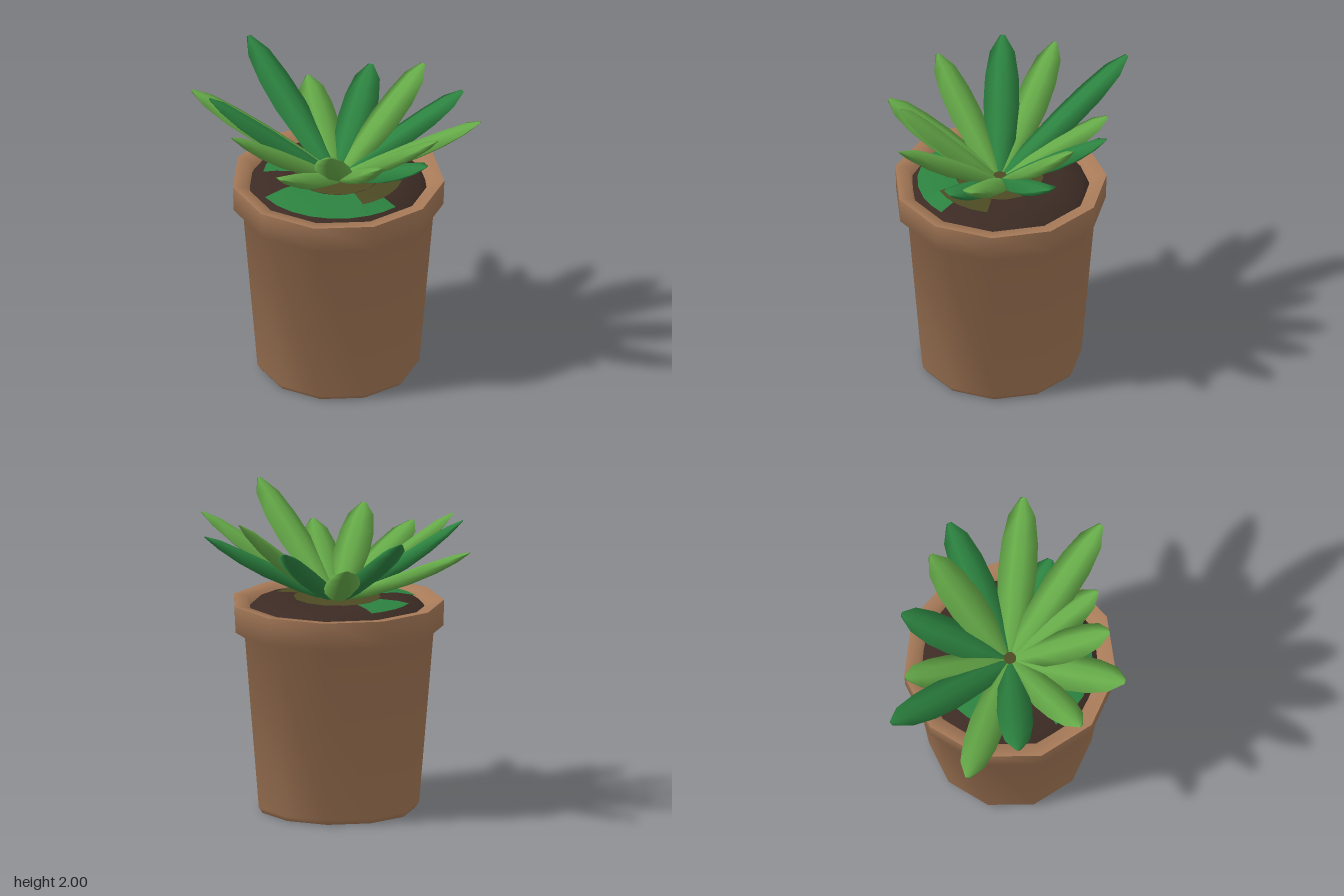
import * as THREE from 'three';
import { toCreasedNormals } from 'three/addons/utils/BufferGeometryUtils.js';

const mat = (name, color) => {
  const m = new THREE.MeshStandardMaterial({ color });
  m.name = name;
  return m;
};
const rad = THREE.MathUtils.degToRad;

// Turned surface from [radius, height] pairs, over an arc in degrees
function turned(name, profile, material, sides, start = 0, arc = 360) {
  const pts = profile.map(([r, y]) => new THREE.Vector2(r, y));
  const lathe = new THREE.LatheGeometry(pts, sides, rad(start), rad(arc));
  const mesh = new THREE.Mesh(toCreasedNormals(lathe, 1.2), material);
  mesh.name = name;
  return mesh;
}

// Fleshy leaf along +z: soft six-sided sections and a chopped, pointed tip
function leafGeometry(length, width) {
  // position along the leaf, half width, half thickness, sag
  const sections = [
    [0, 0.55, 0.02, 0], [0.22, 0.82, 0.038, -0.008], [0.5, 1, 0.046, -0.014],
    [0.7, 0.94, 0.04, -0.012], [0.88, 0.7, 0.026, -0.004], [1, 0.14, 0.004, 0],
  ];
  const ring = [[1, 0], [0.3, 1], [-0.3, 1], [-1, 0], [-0.3, -1], [0.3, -1]];
  const pos = [], index = [];
  sections.forEach(([t, w, h, sag], j) => {
    for (const [x, y] of ring) pos.push(x * w * width, y * h + sag, t * length);
    if (j === 0) return;
    for (let i = 0; i < 6; i++) {
      const k = (i + 1) % 6, lo = (j - 1) * 6, hi = j * 6;
      index.push(lo + i, lo + k, hi + k, lo + i, hi + k, hi + i);
    }
  });
  const last = (sections.length - 1) * 6;
  for (let i = 1; i < 5; i++) index.push(last, last + i, last + i + 1, 0, i + 1, i);
  const g = new THREE.BufferGeometry();
  g.setAttribute('position', new THREE.Float32BufferAttribute(pos, 3));
  g.setIndex(index);
  g.computeVertexNormals();
  return g;
}

export function createModel() {
  const clay = mat('clay', 0xa87b59);
  const earth = mat('soil', 0x3c2b24);
  const moss = mat('moss', 0x4d4a24);
  const light = mat('lightGreen', 0x65a948);
  const dark = mat('darkGreen', 0x2c8240);

  const model = new THREE.Group();
  model.name = 'pottedSucculent';
  const cx = 0.052, cz = -0.05;

  // Pot, soil and ground cover share one off-centre axis
  const planter = new THREE.Group();
  planter.name = 'planter';
  planter.position.set(cx, 0, cz);
  model.add(planter);

  planter.add(turned('pot', [
    [0.001, 0.01], [0.5, 0.005], [0.525, 0.04], [0.618, 1.16], [0.68, 1.2],
    [0.686, 1.37], [0.6, 1.362], [0.56, 1.28],
  ], clay, 11, 18.6));
  planter.add(turned('soil', [
    [0.585, 1.3], [0.53, 1.355], [0.4, 1.383], [0.2, 1.39], [0.001, 1.395],
  ], earth, 20));

  // Thin growth lying on the soil
  const outer = [[0.53, 1.363], [0.4, 1.391], [0.28, 1.395]];
  planter.add(turned('frontGroundLeaf', outer, dark, 6, -30, 84));
  planter.add(turned('frontGroundLeafTip', [[0.53, 1.363], [0.42, 1.388]], dark, 2, 54, 22));
  planter.add(turned('sideGroundLeaf', [[0.48, 1.379], [0.4, 1.391], [0.28, 1.395]], dark, 4, -110, 46));
  planter.add(turned('mossCentre', [[0.28, 1.395], [0.001, 1.403]], moss, 14));
  planter.add(turned('mossPatch', [[0.42, 1.388], [0.28, 1.395]], moss, 4, 54, 56));

  // Leaves: tip x, y, z, half width, material
  const leaves = [
    [0.92, 1.87, -0.38, 0.125, light],
    [0.93, 2.0, 0.17, 0.12, light],
    [0.57, 1.82, -0.74, 0.12, dark],
    [0.28, 1.94, -0.73, 0.125, light],
    [-0.12, 1.81, -0.74, 0.12, dark],
    [-0.47, 1.72, -0.54, 0.115, light],
    [-0.86, 1.94, -0.45, 0.115, dark],
    [-0.93, 1.8, 0.13, 0.115, light],
    [-0.66, 1.93, 0.36, 0.115, dark],
    [-0.32, 1.88, 0.64, 0.11, light],
    [0.12, 1.75, 0.74, 0.13, light],
    [0.34, 1.87, 0.52, 0.12, light],
    [0.59, 1.76, 0.31, 0.11, light],
    [0.7, 1.62, -0.08, 0.135, dark],
  ];
  const rosette = new THREE.Group();
  rosette.name = 'leafRosette';
  leaves.forEach(([x, y, z, width, material], i) => {
    const tip = new THREE.Vector3(x, y, z);
    const out = new THREE.Vector3(x - cx, 0, z - cz).normalize();
    const base = new THREE.Vector3(cx, 1.385, cz).addScaledVector(out, 0.05);
    const leaf = new THREE.Mesh(leafGeometry(base.distanceTo(tip), width), material);
    leaf.name = `leaf${i + 1}`;
    leaf.position.copy(base);
    leaf.lookAt(tip);
    rosette.add(leaf);
  });
  model.add(rosette);
  return model;
}
